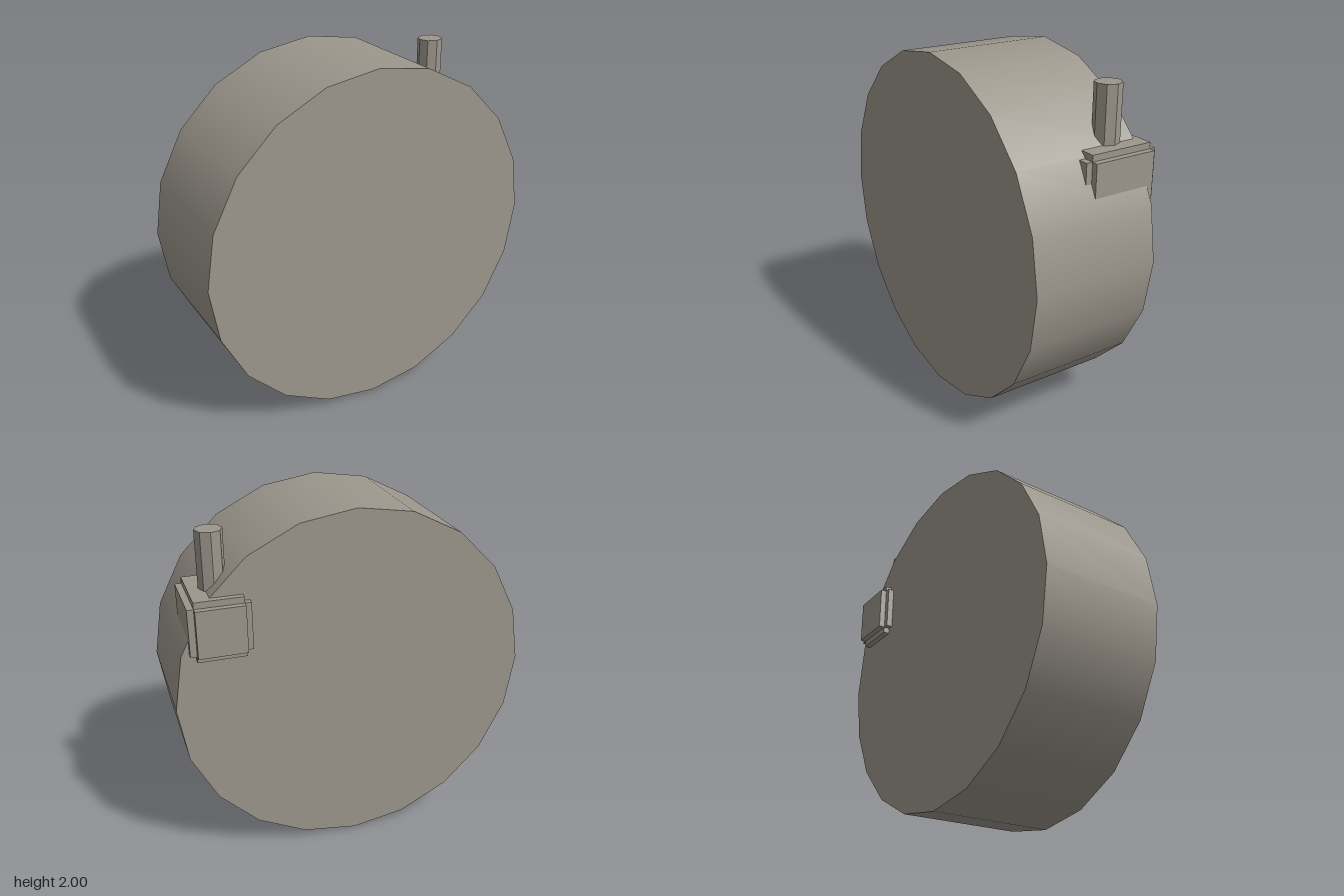
import * as THREE from 'three';

export function createModel() {
  const model = new THREE.Group();
  const color = 0x9c968c;
  const smooth = new THREE.MeshStandardMaterial({ color });
  const faceted = new THREE.MeshStandardMaterial({ color, flatShading: true });

  const add = (parent, name, geometry, material, x, y, z) => {
    const mesh = new THREE.Mesh(geometry, material);
    mesh.name = name;
    mesh.position.set(x, y, z);
    parent.add(mesh);
    return mesh;
  };

  // Twenty-sided drum lying along z, with a corner straight up
  const drum = add(model, 'drum', new THREE.CylinderGeometry(1, 1, 0.74, 20), smooth, 0, 1, 0.035);
  drum.rotation.x = Math.PI / 2;

  // Mount block with stepped edges: three crossed boxes, each longer along one axis
  const mount = new THREE.Group();
  mount.name = 'mountBlock';
  mount.position.set(0.742, 1.447, -0.185);
  model.add(mount);
  const core = [0.26, 0.262, 0.37];
  ['sidePlates', 'topPlates', 'endPlates'].forEach((name, axis) => {
    const size = core.map((s, i) => (i === axis ? s + 0.07 : s));
    add(mount, name, new THREE.BoxGeometry(...size), faceted, 0, 0, 0);
  });

  // Eight-sided post rising from the block
  add(model, 'post', new THREE.CylinderGeometry(0.073, 0.073, 0.475, 8), faceted, 0.741, 1.687, -0.186);

  return model;
}
